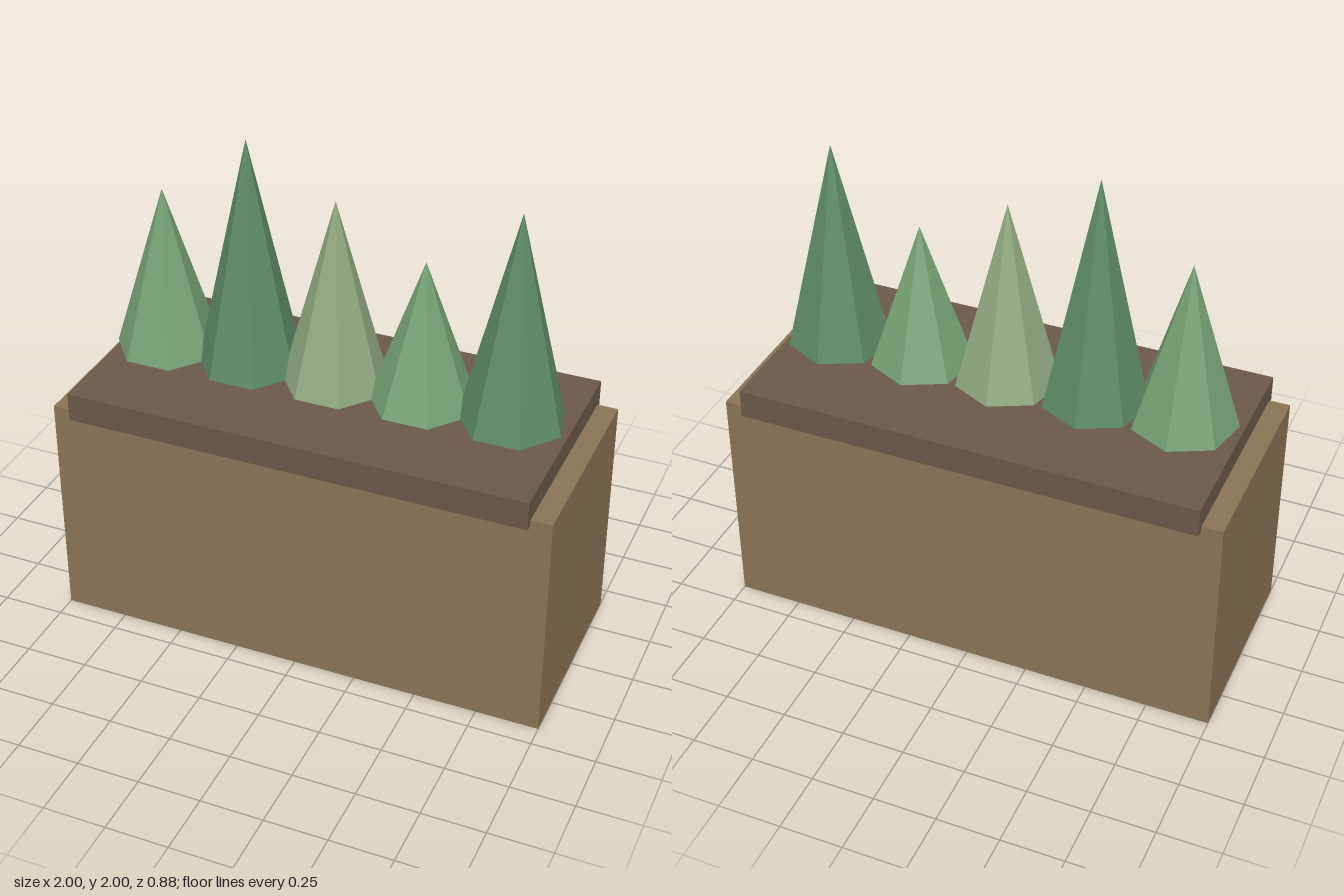
import * as THREE from 'three';

const mat = (color) => new THREE.MeshStandardMaterial({ color, flatShading: true });

export function createModel() {
  const model = new THREE.Group();
  model.name = 'planter';

  const addBox = (name, width, depth, bottom, top, color) => {
    const mesh = new THREE.Mesh(new THREE.BoxGeometry(width, top - bottom, depth), mat(color));
    mesh.name = name;
    mesh.position.y = (bottom + top) / 2;
    model.add(mesh);
  };

  // Planter body with a shorter, slightly deeper slab of soil on top
  addBox('planterBox', 2, 0.824, 0, 0.94, 0x8b7355);
  addBox('soil', 1.835, 0.88, 0.915, 1.03, 0x6b5848);

  // Row of seven-sided cone shrubs, a corner pointing to the back
  const base = 1.063, radius = 0.206, spacing = 0.353;
  const mid = mat(0x76a274), dark = mat(0x5d8c64), olive = mat(0x90aa80);
  const shrubs = [[1.735, mid], [2.0, dark], [1.82, olive], [1.645, mid], [1.91, dark]];
  shrubs.forEach(([top, material], i) => {
    const height = top - base;
    const shrub = new THREE.Mesh(new THREE.ConeGeometry(radius, height, 7, 1, false, Math.PI), material);
    shrub.name = `shrub${i + 1}`;
    shrub.position.set((i - 2) * spacing, base + height / 2, 0);
    model.add(shrub);
  });

  return model;
}
